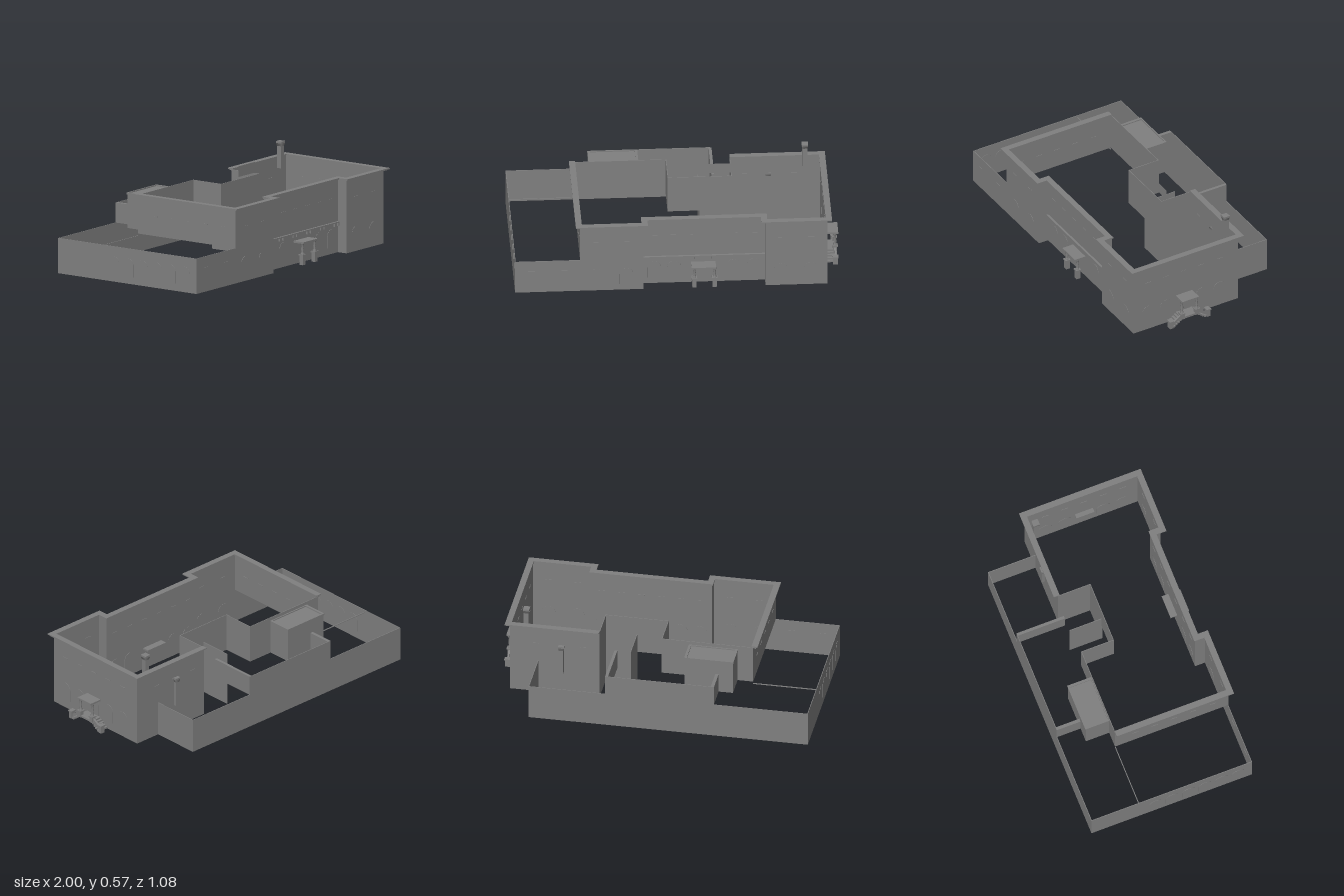
import * as THREE from 'three';

const stone = new THREE.MeshStandardMaterial({ color: 0x808080 });
stone.name = 'grey stone';

export function createModel() {
  const root = new THREE.Group();
  root.name = 'building';

  const add = (name, geo, x = 0, y = 0, z = 0, parent = root) => {
    const m = new THREE.Mesh(geo, stone);
    m.name = name;
    m.position.set(x, y, z);
    parent.add(m);
    return m;
  };
  // box given by its limits
  const box = (name, x0, x1, y0, y1, z0, z1) => add(name,
    new THREE.BoxGeometry(x1 - x0, y1 - y0, z1 - z0), (x0 + x1) / 2, (y0 + y1) / 2, (z0 + z1) / 2);
  // thin wall between two plan points
  const wall = (name, x0, z0, x1, z1, y0, y1, t = 0.004) => box(name,
    Math.min(x0, x1) - t / 2, Math.max(x0, x1) + t / 2, y0, y1, Math.min(z0, z1) - t / 2, Math.max(z0, z1) + t / 2);

  // main house: open shell around a courtyard
  const plan = [[0.355, -0.02], [0.355, -0.23], [0.91, -0.23], [0.91, 0.51], [0.535, 0.51], [0.535, 0.445],
    [-0.217, 0.445], [-0.217, 0.51], [-0.6, 0.51]];
  for (let i = 0; i < plan.length - 1; i++) wall('houseWall', ...plan[i], ...plan[i + 1], 0, 0.462);
  wall('westUpperWall', -0.6, -0.23, -0.6, 0.51, 0.22, 0.462);
  wall('backUpperWall', -0.6, -0.23, -0.035, -0.23, 0.22, 0.462);
  wall('bayWestWall', -0.035, -0.23, -0.035, -0.02, 0.22, 0.462);
  wall('bayUpperWall', -0.035, -0.02, 0.16, -0.02, 0.22, 0.462);
  wall('bayWall', 0.16, -0.02, 0.355, -0.02, 0, 0.462);
  wall('bayInnerWall', 0.16, -0.23, 0.16, -0.02, 0, 0.345);

  // cornice following the wall heads, in two steps
  const cornice = (out, inn, y, h) => {
    const o = [[0.355, -0.23 - out], [0.91 + out, -0.23 - out], [0.91 + out, 0.51 + out], [0.535 - out, 0.51 + out],
      [0.535 - out, 0.445 + out], [-0.217 + out, 0.445 + out], [-0.217 + out, 0.51 + out], [-0.6 - out, 0.51 + out],
      [-0.6 - out, -0.23], [-0.6 + inn, -0.23], [-0.6 + inn, 0.51 - inn], [-0.217 - inn, 0.51 - inn],
      [-0.217 - inn, 0.445 - inn], [0.535 + inn, 0.445 - inn], [0.535 + inn, 0.51 - inn], [0.91 - inn, 0.51 - inn],
      [0.91 - inn, -0.23 + inn], [0.355, -0.23 + inn]];
    const g = new THREE.ExtrudeGeometry(new THREE.Shape(o.map(([x, z]) => new THREE.Vector2(x, -z))),
      { depth: h, bevelEnabled: false });
    g.rotateX(-Math.PI / 2);
    add('cornice', g, 0, y, 0);
  };
  cornice(0.018, 0.005, 0.456, 0.006);
  cornice(0.029, 0.009, 0.462, 0.008);

  // low annex behind and beside the house
  wall('annexWestWall', -1 + 0.002, -0.54, -1 + 0.002, 0.51, 0, 0.22);
  wall('annexFrontWall', -1 + 0.004, 0.51, -0.6, 0.51, 0, 0.22);
  wall('annexBackWall', -1 + 0.004, -0.54, -0.405, -0.54, 0, 0.22);
  wall('annexBackHighWall', -0.405, -0.54, 0.25, -0.54, 0, 0.345);
  wall('annexBackEastWall', 0.25, -0.54, 0.735, -0.54, 0, 0.22);
  wall('annexEastWall', 0.735, -0.54, 0.735, -0.23, 0, 0.22);
  box('annexCrossWall', 0.243, 0.261, 0.22, 0.345, -0.54, -0.23);
  box('annexCrossWall', -0.416, -0.396, 0.22, 0.345, -0.54, -0.385);
  box('annexBeam', -1, -0.6, 0.203, 0.208, -0.232, -0.227);

  // raised roof box with a rim
  box('roofBox', -0.505, -0.205, 0.22, 0.434, -0.385, -0.23);
  for (const z of [-0.385, -0.235]) box('roofBoxRim', -0.508, -0.202, 0.43, 0.441, z - 0.004, z + 0.004);
  for (const x of [-0.5, -0.21]) box('roofBoxRim', x - 0.008, x + 0.008, 0.43, 0.441, -0.385, -0.235);

  // small screen over the bay
  add('screenPanel', new THREE.PlaneGeometry(0.168, 0.067), 0.274, 0.497, -0.055);
  add('screenCanopy', new THREE.PlaneGeometry(0.425, 0.078).rotateX(Math.PI / 2), 0.328, 0.53, -0.055);

  // square stacks with flared heads
  const stack = (name, x, z, w, d, y0, y1) => {
    box(name, x - w / 2, x + w / 2, y0, y1 - 0.03, z - d / 2, z + d / 2);
    const head = add(name + 'Head', new THREE.CylinderGeometry(Math.SQRT1_2 * 1.3, Math.SQRT1_2, 0.018, 4)
      .rotateY(Math.PI / 4), x, y1 - 0.021, z);
    head.scale.set(w, 1, d);
    box(name + 'Cap', x - w * 0.65, x + w * 0.65, y1 - 0.012, y1, z - d * 0.65, z + d * 0.65);
  };
  stack('chimney', 0.813, -0.2, 0.03, 0.032, 0.4, 0.568);
  stack('wallVent', 0.59, -0.24, 0.028, 0.022, 0.155, 0.345);

  // arched and square window panels set through the walls
  const arch = (w, h) => {
    const s = new THREE.Shape();
    s.moveTo(-w / 2, 0);
    s.lineTo(w / 2, 0);
    s.lineTo(w / 2, h - w / 2);
    s.absarc(0, h - w / 2, w / 2, 0, Math.PI);
    s.lineTo(-w / 2, 0);
    return new THREE.ExtrudeGeometry(s, { depth: 0.008, bevelEnabled: false, curveSegments: 10 }).translate(0, 0, -0.004);
  };
  const archGeo = arch(0.085, 0.115);
  const onFront = (x, y, z) => add('archedWindow', archGeo, x, y, z);
  const onSide = (x, y, z) => { onFront(x, y, z).rotation.y = Math.PI / 2; };
  const lintel = (x, y, z, side) => add('windowLintel',
    new THREE.BoxGeometry(side ? 0.009 : 0.042, 0.004, side ? 0.042 : 0.009), x, y, z);

  for (const z of [0.408, 0.281, 0.154, 0.028, -0.1]) {
    onSide(0.91, 0.055, z);
    lintel(0.91, 0.342, z, true);
  }
  for (let i = 0; i < 6; i++) onSide(-0.998, 0.045, -0.12 + i * 0.108);
  for (let i = 0; i < 5; i++) lintel(-0.6, 0.342, -0.1 + i * 0.127, true);
  for (const x of [-0.5, -0.32, 0.63, 0.81]) {
    onFront(x, 0.04, 0.51);
    lintel(x, 0.342, 0.51);
  }
  for (const x of [-0.9, -0.7]) lintel(x, 0.15, 0.51);
  for (let i = 0; i < 6; i++) {
    const x = -0.145 + i * 0.122;
    lintel(x, 0.342, 0.445);
    if (i !== 2 && i !== 3) onFront(x, 0.04, 0.445);
  }
  for (const x of [0.45, 0.6, 0.75]) lintel(x, 0.342, -0.23);

  // ledge on paired brackets along the recessed front
  box('frontLedge', -0.215, 0.535, 0.186, 0.194, 0.445, 0.46);
  for (let i = 0; i < 6; i++) {
    for (const d of [-0.018, 0.018]) {
      const x = -0.19 + i * 0.14 + d;
      if (x > -0.215 && x < 0.53) box('ledgeBracket', x - 0.005, x + 0.005, 0.166, 0.186, 0.445, 0.457);
    }
  }

  // turned column on a pedestal
  const profile = [[0.011, 0], [0.011, 0.1], [0.006, 0.2], [0.009, 0.5], [0.006, 0.8], [0.011, 0.9], [0.011, 1]];
  const column = (x, z, y0, yp, y1) => {
    box('columnPedestal', x - 0.013, x + 0.013, y0, yp - 0.008, z - 0.013, z + 0.013);
    box('columnPedestalCap', x - 0.017, x + 0.017, yp - 0.008, yp, z - 0.017, z + 0.017);
    add('column', new THREE.LatheGeometry(profile.map(([r, t]) => new THREE.Vector2(r, t * (y1 - yp))), 10), x, yp, z);
  };

  // front porch
  box('frontPorchRoof', 0.08, 0.23, 0.134, 0.145, 0.4, 0.522);
  for (const x of [0.098, 0.222]) column(x, 0.5, 0, 0.066, 0.134);

  // side porch with a stair down each way
  box('sidePorchRoof', 0.88, 0.995, 0.166, 0.177, 0.095, 0.213);
  box('sideLanding', 0.91, 0.985, 0.042, 0.055, 0.095, 0.213);
  for (const s of [-1, 1]) {
    const at = (d) => 0.154 + s * d;
    column(0.975, at(0.052), 0.042, 0.085, 0.166);
    box('stairPost', 0.958, 0.988, 0, 0.045, at(0.132) - 0.011, at(0.132) + 0.011);
    box('stairPostCap', 0.954, 0.992, 0.045, 0.053, at(0.132) - 0.015, at(0.132) + 0.015);
    for (let i = 0; i < 4; i++) {
      const z = at(0.066 + i * 0.015);
      box('stairStep', 0.912, 0.985, 0.034 - i * 0.011, 0.045 - i * 0.011, z - 0.008, z + 0.008);
    }
    const rail = add('stairRail', new THREE.BoxGeometry(0.012, 0.018, 0.08), 0.975, 0.043, at(0.09));
    rail.rotation.x = s * 0.6;
  }
  return root;
}
